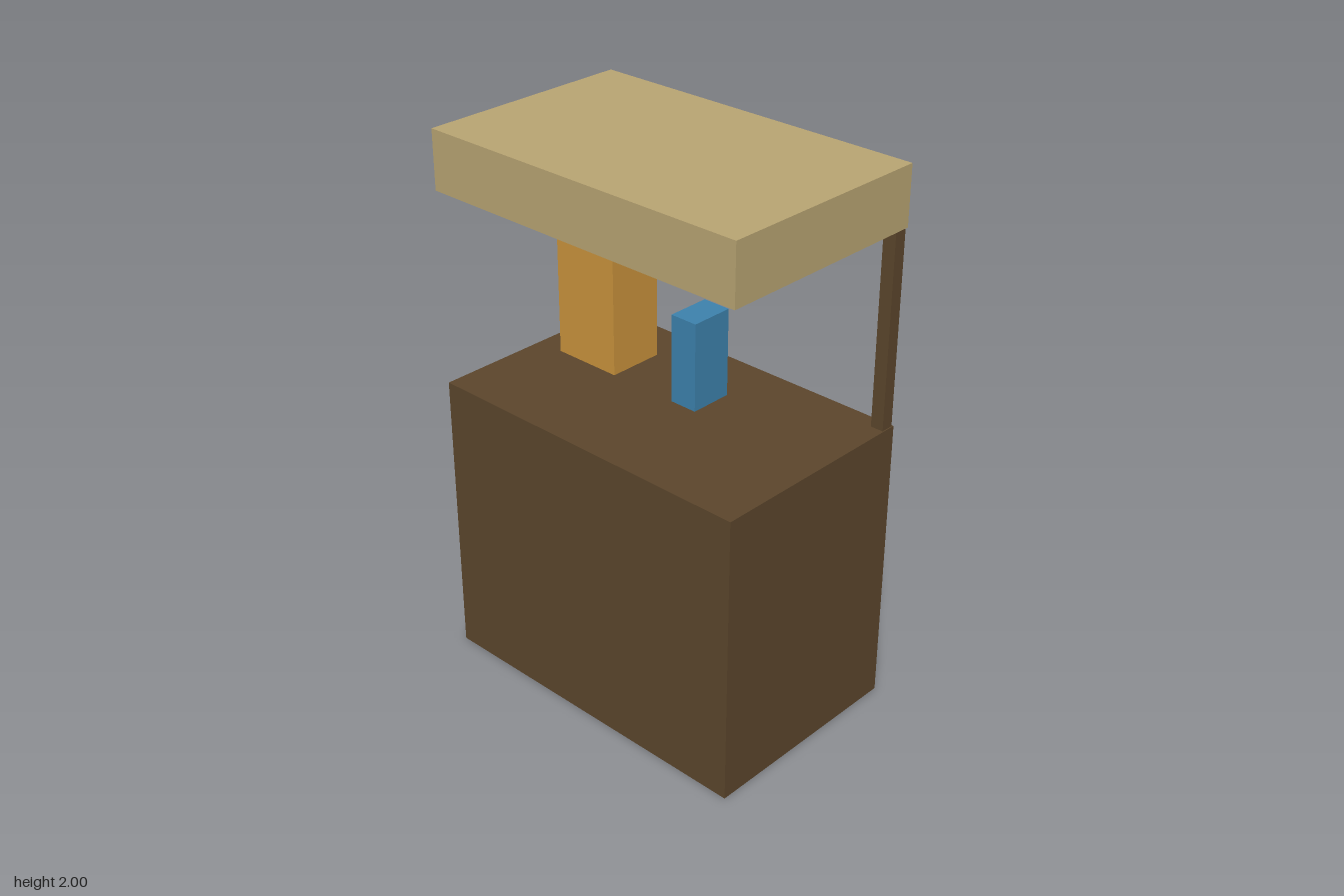
import * as THREE from 'three';

function material(name, color) {
  const m = new THREE.MeshStandardMaterial({ color });
  m.name = name;
  return m;
}

export function createModel() {
  const group = new THREE.Group();
  group.name = 'marketStall';

  const darkWood = material('darkWood', 0x5c462c);
  const canvas = material('canvas', 0xb9a573);
  const orange = material('orange', 0xca933c);
  const blue = material('blue', 0x3d82ad);

  // Box from its minimum and maximum corners
  function box(name, mat, [x0, y0, z0], [x1, y1, z1]) {
    const mesh = new THREE.Mesh(new THREE.BoxGeometry(x1 - x0, y1 - y0, z1 - z0), mat);
    mesh.position.set((x0 + x1) / 2, (y0 + y1) / 2, (z0 + z1) / 2);
    mesh.name = name;
    group.add(mesh);
    return mesh;
  }

  const counterTop = 1.082;
  const roofBottom = 1.788;

  // Counter and roof share one footprint
  box('counter', darkWood, [-0.647, 0, -0.404], [0.647, counterTop, 0.404]);
  box('roof', canvas, [-0.647, roofBottom, -0.404], [0.647, 2, 0.404]);

  // Rear posts, mirrored left and right
  for (const side of [-1, 1]) {
    const post = box(side > 0 ? 'leftPost' : 'rightPost', darkWood,
      [-0.024, counterTop, -0.398], [0.024, roofBottom, -0.35]);
    post.position.x = side * 0.619;
  }

  // Goods standing on the counter
  box('largeBox', orange, [-0.54, counterTop, -0.24], [-0.271, 1.567, -0.025]);
  box('smallBox', blue, [0, counterTop, -0.187], [0.107, 1.406, -0.025]);

  return group;
}
